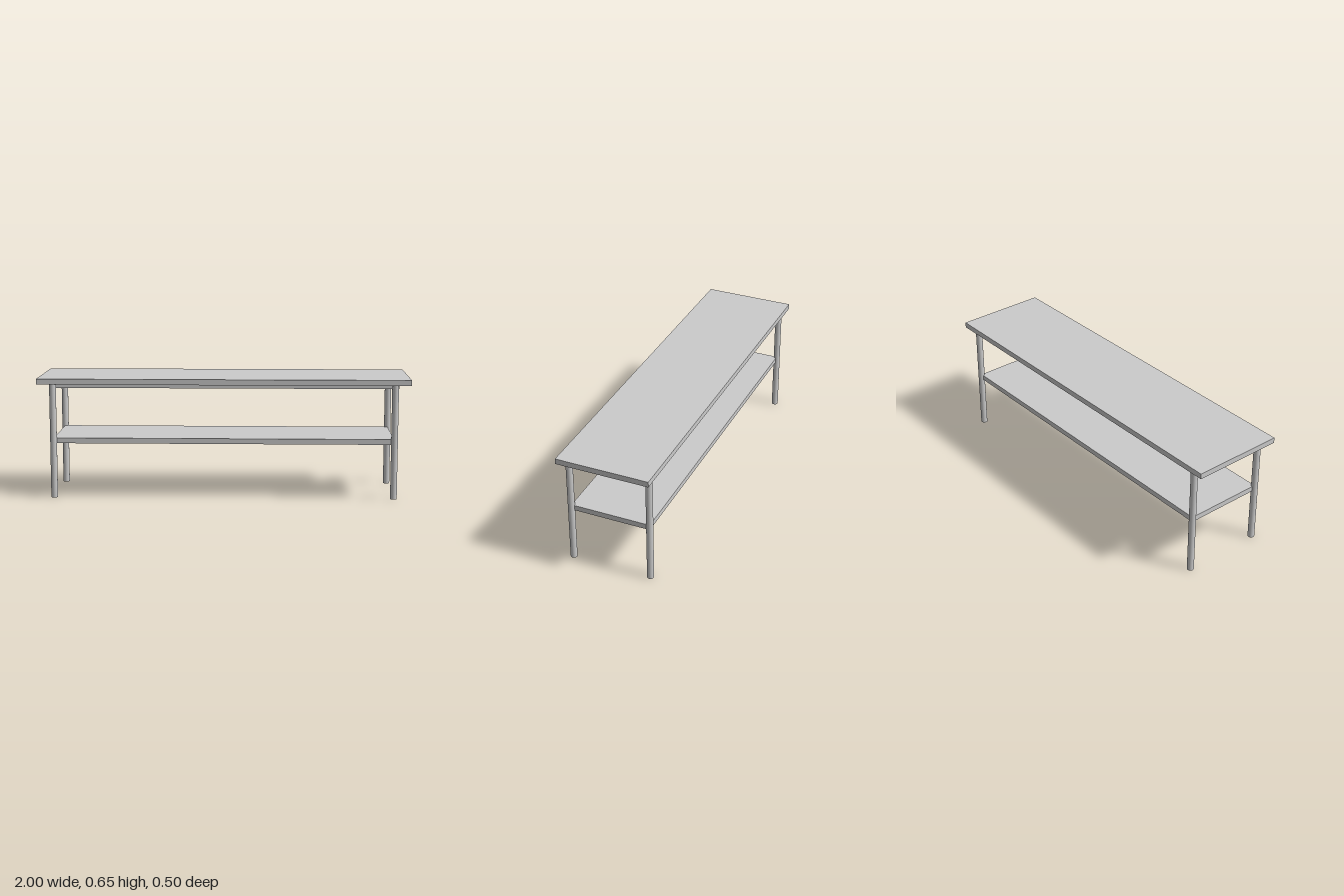
import * as THREE from 'three';

const material = new THREE.MeshStandardMaterial({ color: 0xcccccc });

// A flat board given by its size, the height of its underside and its z centre
function board(name, width, thickness, depth, bottom, z = 0) {
  const mesh = new THREE.Mesh(new THREE.BoxGeometry(width, thickness, depth), material);
  mesh.position.set(0, bottom + thickness / 2, z);
  mesh.name = name;
  return mesh;
}

export function createModel() {
  const table = new THREE.Group();
  table.name = 'benchTable';

  const legHeight = 0.618;
  const legX = 0.917;
  const legZ = 0.218;
  const offsetZ = 0.002;

  // Top slab, the narrower panel under it, and the shelf running between the leg axes
  table.add(
    board('tabletop', 2, 0.03, 0.502, legHeight),
    board('underPanel', 1.885, 0.028, 0.323, legHeight - 0.028, 0.003),
    board('shelf', legX * 2, 0.029, legZ * 2, 0.296, offsetZ),
  );

  // Four round legs
  const legGeometry = new THREE.CylinderGeometry(0.018, 0.018, legHeight, 32);
  for (const [side, sx] of [['Left', 1], ['Right', -1]]) {
    for (const [end, sz] of [['front', 1], ['back', -1]]) {
      const leg = new THREE.Mesh(legGeometry, material);
      leg.position.set(sx * legX, legHeight / 2, sz * legZ + offsetZ);
      leg.name = `${end}${side}Leg`;
      table.add(leg);
    }
  }
  return table;
}
